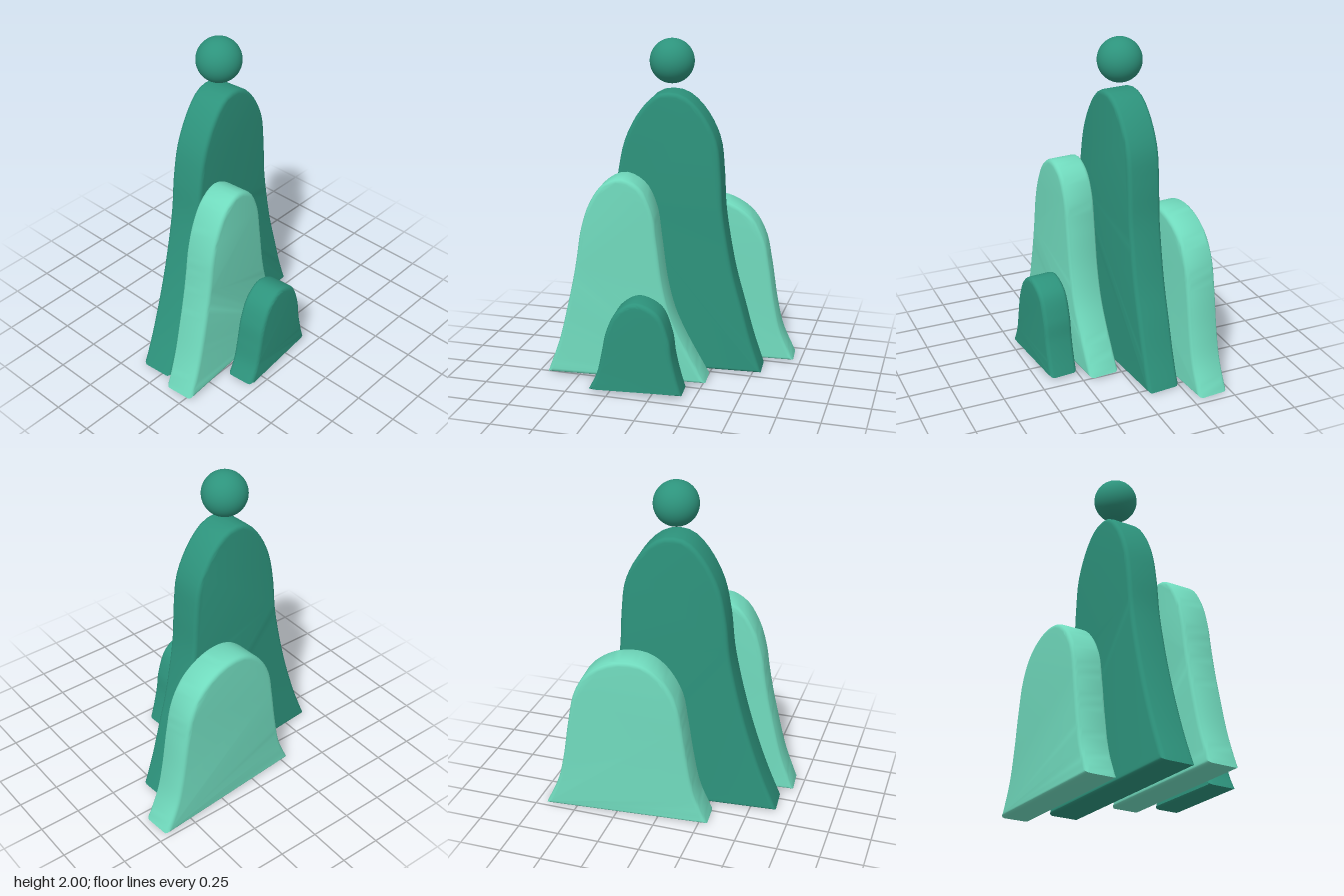
import * as THREE from 'three';
import { toCreasedNormals } from 'three/addons/utils/BufferGeometryUtils.js';

const YAW = THREE.MathUtils.degToRad(4.8);
const BEVEL = 0.025;

// Upright bell-shaped slab: a smooth outline from the left foot over the top to the right foot
function makeSlab(name, material, cx, cz, depth, outline) {
  const curve = new THREE.CatmullRomCurve3(
    outline.map(([x, y]) => new THREE.Vector3(x - cx, y, 0)), false, 'centripetal');
  const points = curve.getSpacedPoints(72).map((p) => new THREE.Vector2(p.x, p.y));
  const shape = new THREE.Shape(points.reverse());
  const geometry = new THREE.ExtrudeGeometry(shape, {
    depth: depth - 2 * BEVEL,
    bevelEnabled: true,
    bevelThickness: BEVEL,
    bevelSize: BEVEL,
    bevelOffset: -BEVEL,
    bevelSegments: 4,
  });
  geometry.translate(0, 0, BEVEL - depth / 2);
  const mesh = new THREE.Mesh(toCreasedNormals(geometry, 0.6), material);
  mesh.name = name;
  mesh.position.set(cx, 0, cz);
  mesh.rotation.y = YAW;
  return mesh;
}

export function createModel() {
  const darkGreen = new THREE.MeshStandardMaterial({ color: 0x2d937c });
  darkGreen.name = 'dark green';
  const mintGreen = new THREE.MeshStandardMaterial({ color: 0x70dabd });
  mintGreen.name = 'mint green';

  const group = new THREE.Group();
  group.name = 'layeredHills';

  // Four slabs, from back to front
  group.add(makeSlab('backHill', mintGreen, 0.2, -0.345, 0.19, [
    [-0.295, 0], [-0.22, 0.18], [-0.175, 0.4], [-0.145, 0.6], [-0.11, 0.78], [-0.03, 0.92],
    [0.07, 1.0], [0.18, 1.02], [0.3, 0.995], [0.42, 0.915], [0.5, 0.78], [0.54, 0.6],
    [0.58, 0.35], [0.62, 0.18], [0.7, 0],
  ]));
  group.add(makeSlab('tallHill', darkGreen, -0.055, -0.093, 0.205, [
    [-0.65, 0.005], [-0.57, 0.2], [-0.5, 0.4], [-0.44, 0.6], [-0.39, 0.8], [-0.35, 1.0],
    [-0.325, 1.22], [-0.28, 1.42], [-0.19, 1.59], [-0.1, 1.68], [-0.02, 1.70], [0.07, 1.68],
    [0.17, 1.59], [0.26, 1.42], [0.287, 1.22], [0.3, 1.0], [0.33, 0.8], [0.37, 0.6],
    [0.425, 0.4], [0.48, 0.2], [0.545, 0.005],
  ]));
  group.add(makeSlab('frontHill', mintGreen, -0.22, 0.155, 0.19, [
    [-0.7, 0.01], [-0.625, 0.22], [-0.57, 0.44], [-0.53, 0.62], [-0.505, 0.76], [-0.48, 0.915],
    [-0.43, 1.07], [-0.35, 1.19], [-0.24, 1.24], [-0.125, 1.185], [-0.055, 1.05],
    [-0.025, 0.86], [0.01, 0.6], [0.055, 0.42], [0.115, 0.28], [0.262, 0.01],
  ]));
  group.add(makeSlab('smallHill', darkGreen, -0.1, 0.365, 0.175, [
    [-0.375, 0.015], [-0.325, 0.12], [-0.295, 0.25], [-0.265, 0.385], [-0.2, 0.51],
    [-0.095, 0.567], [0.035, 0.51], [0.1, 0.36], [0.12, 0.23], [0.145, 0.12], [0.175, 0.015],
  ]));

  // Ball floating above the tallest slab
  const ball = new THREE.Mesh(new THREE.SphereGeometry(0.13, 48, 32), darkGreen);
  ball.name = 'ball';
  ball.position.set(-0.017, 1.87, -0.097);
  group.add(ball);

  return group;
}
